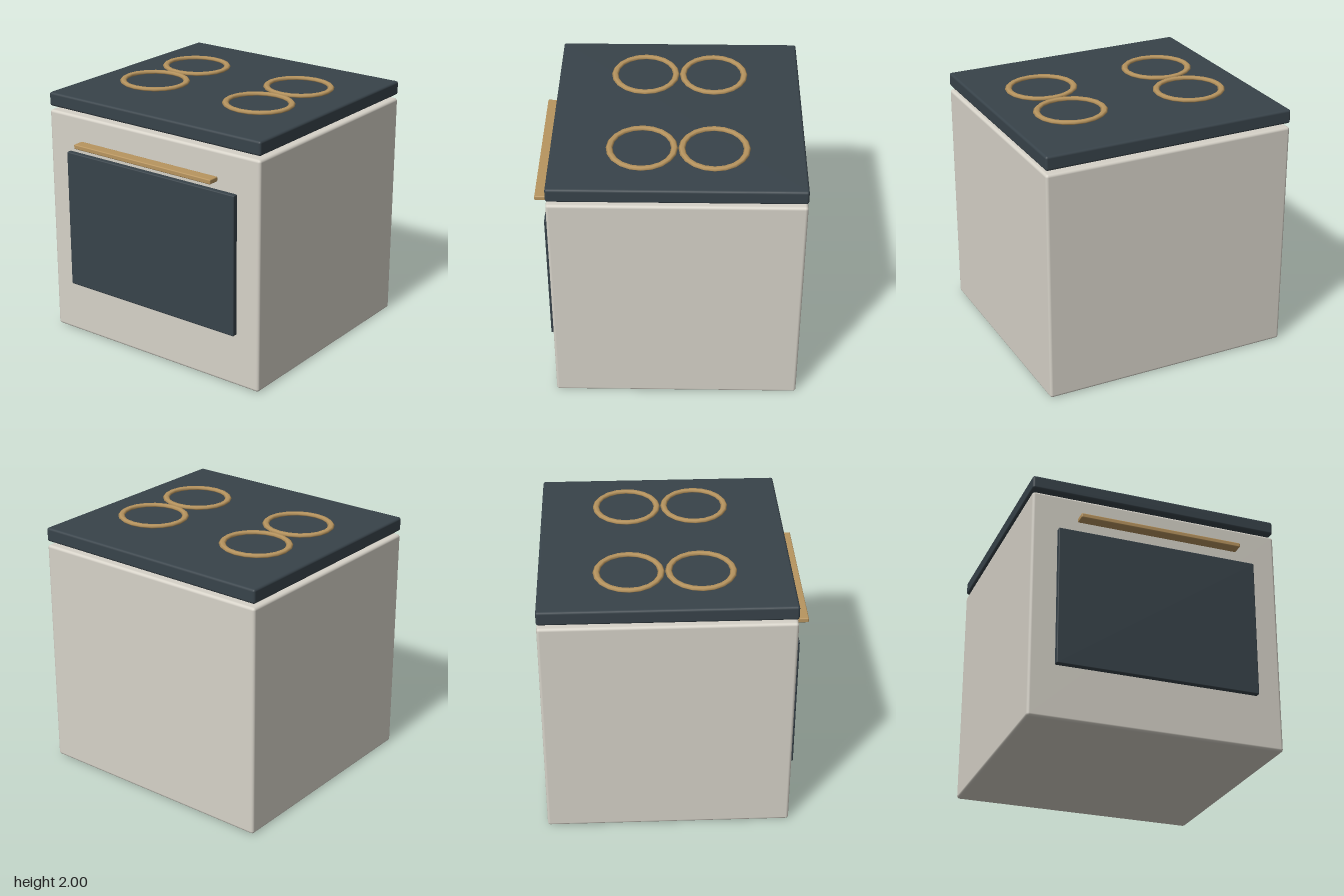
import * as THREE from 'three';
import { RoundedBoxGeometry } from 'three/addons/geometries/RoundedBoxGeometry.js';

const cream = new THREE.MeshStandardMaterial({ color: 0xd6d2c8 });
const charcoal = new THREE.MeshStandardMaterial({ color: 0x38434a });
const brass = new THREE.MeshStandardMaterial({ color: 0xb8955f });

// Softly bevelled box given by its [min, max] extent on each axis
function block(name, [x0, x1], [y0, y1], [z0, z1], bevel, material) {
  const geometry = new RoundedBoxGeometry(x1 - x0, y1 - y0, z1 - z0, 2, bevel);
  const mesh = new THREE.Mesh(geometry, material);
  mesh.name = name;
  mesh.position.set((x0 + x1) / 2, (y0 + y1) / 2, (z0 + z1) / 2);
  return mesh;
}

export function createModel() {
  const stove = new THREE.Group();
  stove.name = 'stove';

  // Cabinet, and the cooktop hovering just above it
  stove.add(block('body', [-1, 1], [0, 1.825], [-1, 0.88], 0.022, cream));
  stove.add(block('cooktop', [-1, 1], [1.855, 1.965], [-1, 0.88], 0.018, charcoal));

  // Oven door panel and its handle bar
  stove.add(block('ovenDoor', [-0.8, 0.8], [0.42, 1.53], [0.86, 0.92], 0.008, charcoal));
  stove.add(block('doorHandle', [-0.65, 0.65], [1.605, 1.642], [0.908, 1], 0.008, brass));

  // Four flattened burner rings
  const ring = new THREE.TorusGeometry(0.255, 0.027, 6, 20);
  ring.rotateX(Math.PI / 2);
  ring.scale(1, 0.55, 0.94);
  for (const [side, x] of [['Left', 0.5], ['Right', -0.5]]) {
    for (const [row, z] of [['back', -0.33], ['front', 0.203]]) {
      const burner = new THREE.Mesh(ring, brass);
      burner.name = `${row}${side}Burner`;
      burner.position.set(x, 1.987, z);
      stove.add(burner);
    }
  }
  return stove;
}
